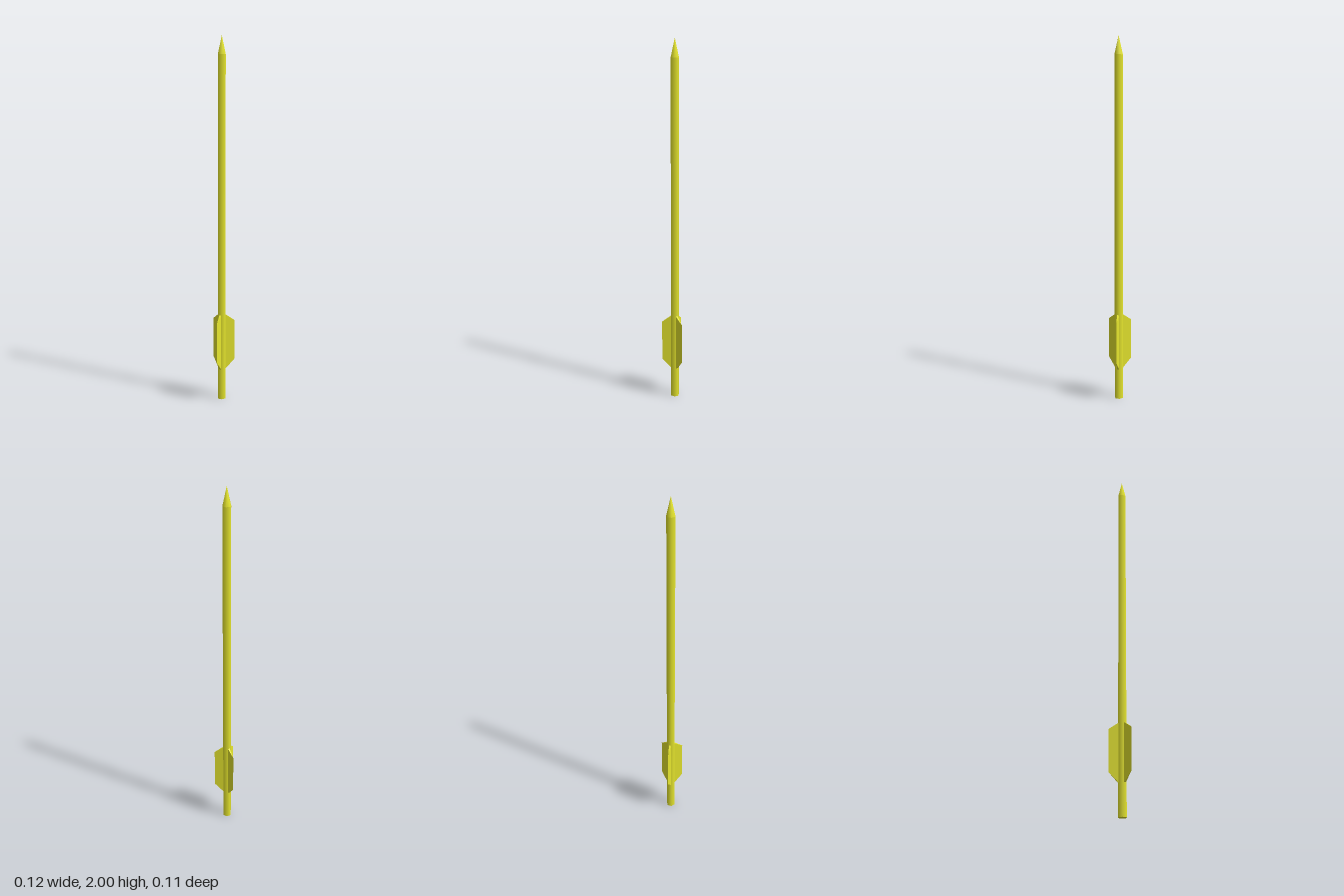
import * as THREE from 'three';

const SIDES = 6;
const RADIUS = 0.024;
const TWIST = THREE.MathUtils.degToRad(22);

// Wedge-shaped fin: thick at the root, sharp at the outer edge, swept at both ends
function finGeometry() {
  const geo = new THREE.BoxGeometry(1, 1, 1);
  const p = geo.attributes.position;
  for (let i = 0; i < p.count; i++) {
    const outer = p.getX(i) > 0;
    const top = p.getY(i) > 0;
    const y = outer ? (top ? 0.45 : 0.225) : (top ? 0.488 : 0.167);
    p.setXYZ(i, outer ? 0.072 : 0.016, y, outer ? 0 : Math.sign(p.getZ(i)) * 0.006);
  }
  geo.computeVertexNormals();
  return geo;
}

export function createModel() {
  const model = new THREE.Group();
  model.name = 'dart';
  const material = new THREE.MeshStandardMaterial({ color: 0xe6e62e });

  const add = (name, geo, y = 0) => {
    const mesh = new THREE.Mesh(geo, material);
    mesh.name = name;
    mesh.position.set(0, y, 0.018);
    model.add(mesh);
    return mesh;
  };

  // Long six-sided shaft, closed at the bottom
  add('shaft', new THREE.CylinderGeometry(RADIUS, RADIUS, 1.9, SIDES, 1, false, TWIST), 0.95);

  // Pointed tip
  add('tip', new THREE.ConeGeometry(RADIUS, 0.1, SIDES, 1, true, TWIST), 1.95);

  // Three fins, one straight to the back
  const fin = finGeometry();
  for (let i = 0; i < 3; i++) {
    add('fin' + (i + 1), fin).rotation.y = Math.PI / 2 + (i * Math.PI * 2) / 3;
  }

  return model;
}
